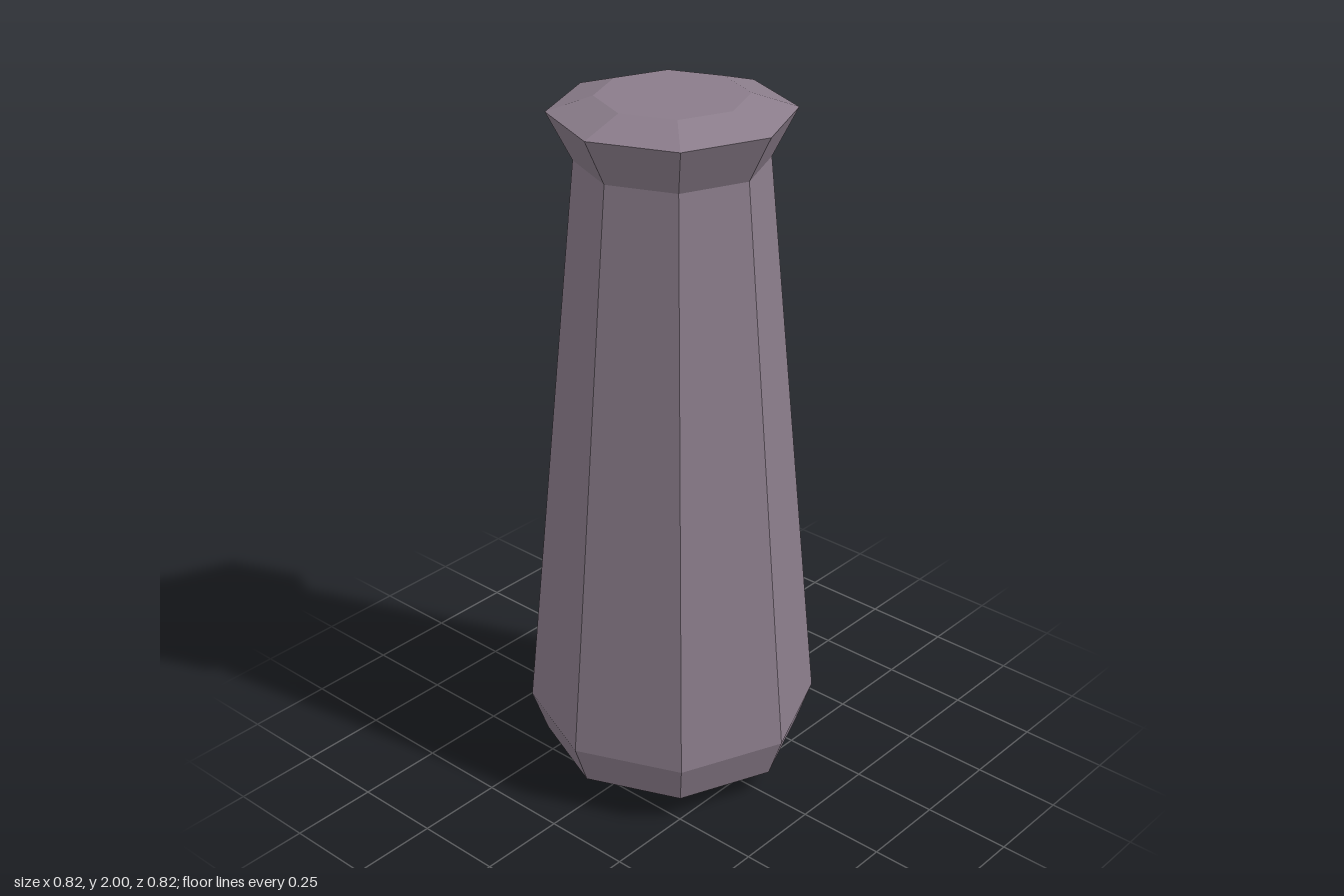
import * as THREE from 'three';

export function createModel() {
  const group = new THREE.Group();
  const material = new THREE.MeshStandardMaterial({ color: 0x8a7c8a, flatShading: true });

  // Eight-sided tapered handle: rounded butt, long shaft, flared collar and shallow cap
  const profile = [
    [0, 0], [0.215, 0], [0.365, 0.08], [0.408, 0.2],
    [0.255, 1.83], [0.322, 1.96], [0.2, 2], [0, 2],
  ].map(([r, y]) => new THREE.Vector2(r, y));
  const geometry = new THREE.LatheGeometry(profile, 8).toNonIndexed();
  geometry.computeVertexNormals();

  const handle = new THREE.Mesh(geometry, material);
  handle.name = 'handle';
  group.add(handle);
  return group;
}
